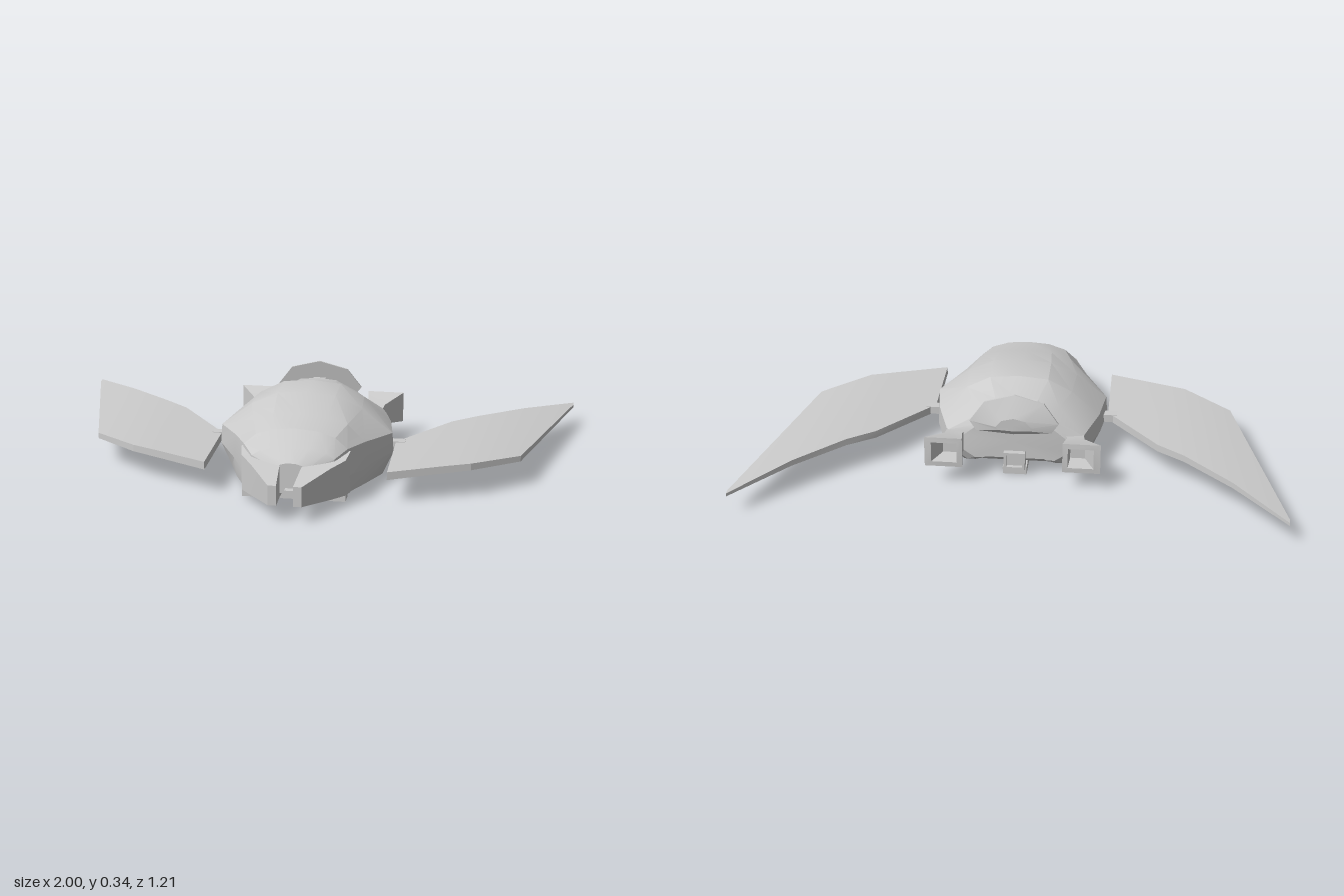
import * as THREE from 'three';
import { toCreasedNormals } from 'three/addons/utils/BufferGeometryUtils.js';

const material = new THREE.MeshStandardMaterial({ color: 0xcccccc });

// Closed solid through equal-length rings of [x, y, z]; always faces outward.
function loft(rings, crease = 0.3) {
  const tris = [];
  const n = rings[0].length;
  for (let i = 0; i < rings.length - 1; i++) {
    for (let j = 0; j < n; j++) {
      const k = (j + 1) % n;
      const a = rings[i][j], b = rings[i][k], c = rings[i + 1][k], d = rings[i + 1][j];
      tris.push([a, b, c], [a, c, d]);
    }
  }
  const cap = (ring, flip) => {
    const mid = [0, 1, 2].map(c => ring.reduce((s, p) => s + p[c], 0) / n);
    ring.forEach((p, j) => {
      const q = ring[(j + 1) % n];
      tris.push(flip ? [mid, q, p] : [mid, p, q]);
    });
  };
  cap(rings[0], true);
  cap(rings[rings.length - 1], false);
  const vec = p => new THREE.Vector3(...p);
  const volume = tris.reduce((s, [a, b, c]) => s + vec(a).dot(vec(b).cross(vec(c))), 0);
  const ordered = volume < 0 ? tris.map(([a, b, c]) => [a, c, b]) : tris;
  const geo = new THREE.BufferGeometry();
  geo.setAttribute('position', new THREE.Float32BufferAttribute(ordered.flat(2), 3));
  return toCreasedNormals(geo, crease);
}

// Rectangle ring at depth z, mirrored by s
const rect = (s, x0, x1, y0, y1, z) =>
  [[s * x0, y0, z], [s * x1, y0, z], [s * x1, y1, z], [s * x0, y1, z]];

export function createModel() {
  const group = new THREE.Group();
  const add = (name, geo) => {
    const mesh = new THREE.Mesh(geo, material);
    mesh.name = name;
    group.add(mesh);
    return mesh;
  };
  const box = (name, x0, x1, y0, y1, z0, z1) =>
    add(name, loft([rect(1, x0, x1, y0, y1, z0), rect(1, x0, x1, y0, y1, z1)]));

  // Shell: z, floor y, then half-section [x, y]: skirt, waist, rim, dome edge, crown; top y
  const sections = [
    [0.47, 0.08, [0.06, 0.06], [0.08, 0.10], [0.06, 0.155], [0.04, 0.168], [0.02, 0.174], 0.175],
    [0.42, 0.08, [0.14, 0.04], [0.16, 0.10], [0.15, 0.18], [0.12, 0.2], [0.06, 0.215], 0.218],
    [0.36, 0.07, [0.19, 0.03], [0.2, 0.10], [0.19, 0.2], [0.145, 0.24], [0.08, 0.262], 0.268],
    [0.25, 0.05, [0.24, 0.025], [0.25, 0.10], [0.24, 0.19], [0.175, 0.255], [0.1, 0.28], 0.286],
    [0.10, 0.015, [0.29, 0.01], [0.33, 0.10], [0.325, 0.175], [0.21, 0.265], [0.11, 0.312], 0.322],
    [-0.04, 0.015, [0.27, 0.01], [0.31, 0.10], [0.305, 0.17], [0.2, 0.265], [0.11, 0.312], 0.322],
    [-0.14, 0.015, [0.2, 0.01], [0.28, 0.10], [0.275, 0.17], [0.16, 0.25], [0.08, 0.278], 0.282],
    [-0.2, 0.05, [0.18, 0.045], [0.26, 0.10], [0.255, 0.165], [0.14, 0.235], [0.07, 0.272], 0.278],
    [-0.22, 0.07, [0.15, 0.065], [0.2, 0.10], [0.19, 0.16], [0.13, 0.21], [0.07, 0.245], 0.25],
  ];
  add('shell', loft(sections.map(([z, floor, ...rest]) => {
    const top = rest.pop();
    const inner = rest[0][0] - 0.03;
    const half = [[inner - 0.01, floor], [inner, rest[0][1]], ...rest];
    return [
      ...half.map(([x, y]) => [x, y, z]),
      [0, top, z],
      ...half.reverse().map(([x, y]) => [-x, y, z]),
    ];
  }), 0.35));

  // Front bar below the nose, belly keel and rear vent
  box('frontBar', -0.19, 0.19, 0.015, 0.045, 0.355, 0.41);
  box('bellyKeel', -0.045, 0.045, 0, 0.03, -0.22, -0.05);
  add('rearVent', loft([
    rect(1, -0.04, 0.04, 0.03, 0.1, -0.18),
    rect(1, -0.04, 0.04, 0.03, 0.1, -0.24),
    rect(1, -0.03, 0.03, 0.04, 0.09, -0.24),
    rect(1, -0.03, 0.03, 0.04, 0.09, -0.225),
  ]));

  // Tail fan: arched, backward-bulging dish on a short mount
  const arch = [[-0.14, 0.2], [-0.165, 0.235], [-0.11, 0.31], [0, 0.34],
    [0.11, 0.31], [0.165, 0.235], [0.14, 0.2], [0, 0.19]];
  const lean = y => -0.222 - (0.34 - y) * 0.16;
  add('tailFan', loft([
    arch.map(([x, y]) => [x, y, lean(y)]),
    arch.map(([x, y]) => [x, y, lean(y) - 0.007]),
    arch.map(([x, y]) => [x * 0.4, 0.21 + (y - 0.19) * 0.35, -0.268]),
  ]));
  box('fanMount', -0.025, 0.025, 0.22, 0.27, -0.25, -0.16);

  for (const [side, s] of [['left', 1], ['right', -1]]) {
    // Nose prong with a slot between the pair
    add(side + 'Prong', loft([
      rect(s, 0.04, 0.2, 0.03, 0.19, 0.35),
      rect(s, 0.04, 0.19, 0.04, 0.175, 0.41),
      rect(s, 0.04, 0.145, 0.045, 0.165, 0.47),
      rect(s, 0.03, 0.06, 0.065, 0.14, 0.6),
    ]));

    // Hollow square thruster flaring outward
    add(side + 'Thruster', loft([
      rect(s, 0.18, 0.255, 0.09, 0.165, -0.17),
      rect(s, 0.195, 0.26, 0.09, 0.17, -0.23),
      rect(s, 0.185, 0.325, 0.075, 0.195, -0.315),
      rect(s, 0.205, 0.3, 0.095, 0.175, -0.317),
      rect(s, 0.21, 0.265, 0.1, 0.165, -0.25),
    ]));

    // Swept wing: x, front z, back z, middle y, thickness
    const ribs = [
      [0.335, 0.38, 0.06, 0.112, 0.03],
      [0.53, 0.305, -0.18, 0.119, 0.028],
      [0.63, 0.268, -0.255, 0.122, 0.026],
      [0.805, 0.13, -0.41, 0.112, 0.022],
      [1, -0.58, -0.605, 0.084, 0.012],
    ];
    add(side + 'Wing', loft(ribs.map(([x, zf, zb, y, t]) => [
      [s * x, y - t / 2, zf], [s * x, y + t / 2, zf],
      [s * x, y + t / 2, zb], [s * x, y - t / 2, zb],
    ])));

    // Wing hinge
    add(side + 'Hinge', loft([
      rect(s, 0.27, 0.37, 0.1, 0.13, 0.035),
      rect(s, 0.27, 0.37, 0.1, 0.13, 0.07),
    ]));
  }
  return group;
}
